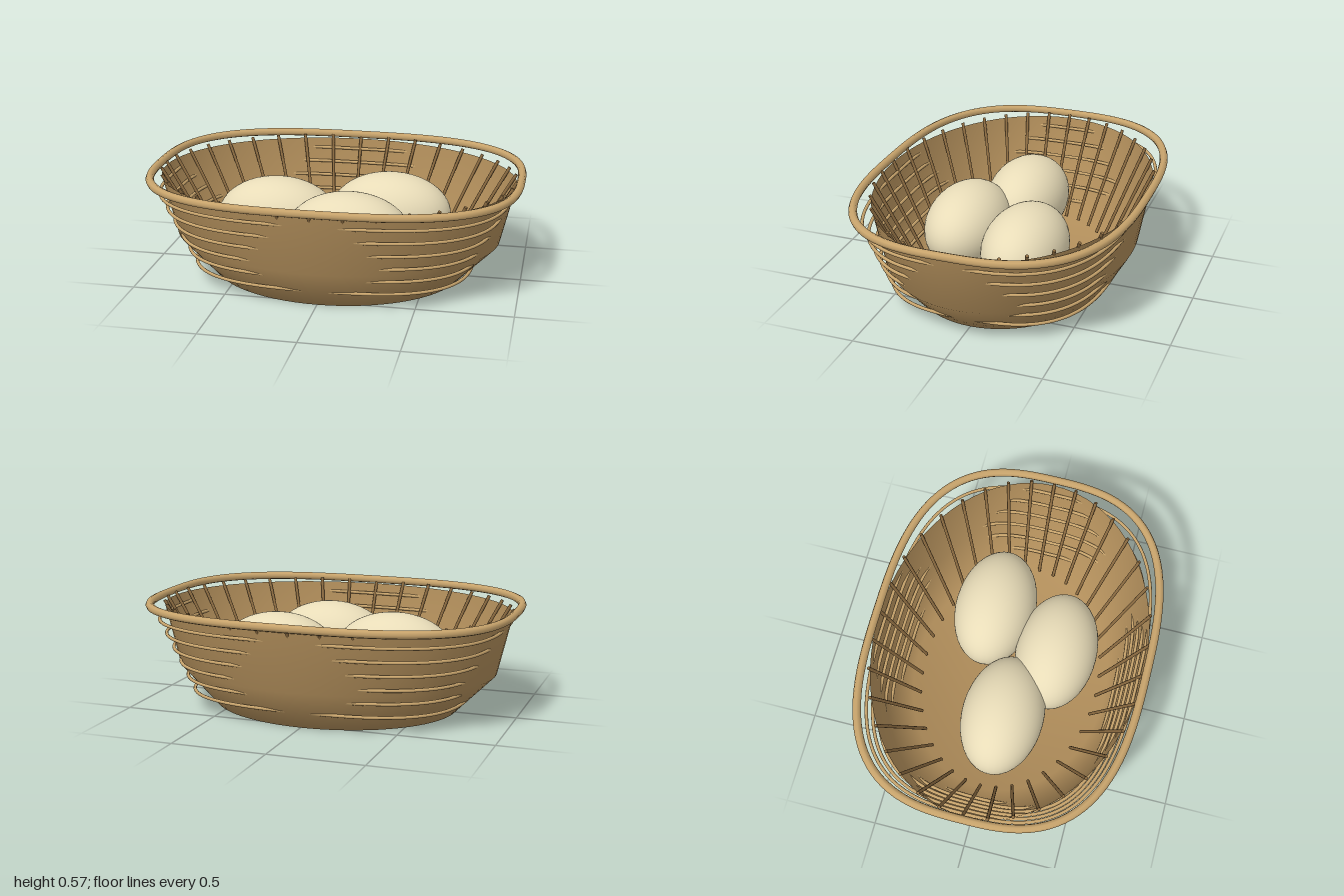
import * as THREE from 'three';
import { mergeVertices } from 'three/addons/utils/BufferGeometryUtils.js';

const mat = (color, side = THREE.FrontSide) =>
  new THREE.MeshStandardMaterial({ color, side, roughness: 0.85 });

const wallMat = mat(0xb08d5a, THREE.DoubleSide);
const caneMat = mat(0xc8a46c);
const stakeMat = mat(0x8a6a40);
const eggMat = mat(0xe8dcb8);

function addMesh(parent, name, geometry, material) {
  const mesh = new THREE.Mesh(geometry, material);
  mesh.name = name;
  parent.add(mesh);
  return mesh;
}

// Closed hoop on a rounded-rectangle (superellipse) path
function hoop(a, b, y, radius, sides) {
  const n = 2.86, points = [];
  for (let i = 0; i < 72; i++) {
    const t = (i / 72) * Math.PI * 2;
    const c = Math.cos(t), s = Math.sin(t);
    const k = Math.pow(Math.abs(c) ** n + Math.abs(s) ** n, -1 / n);
    points.push(new THREE.Vector3(a * c * k, y, b * s * k));
  }
  const path = new THREE.CatmullRomCurve3(points, true);
  return new THREE.TubeGeometry(path, 144, radius, sides, true);
}

// Straight rod between two points
function rod(from, to, radius) {
  const dir = to.clone().sub(from);
  const geometry = new THREE.CylinderGeometry(radius, radius, dir.length(), 8);
  geometry.applyQuaternion(new THREE.Quaternion().setFromUnitVectors(
    new THREE.Vector3(0, 1, 0), dir.normalize()));
  const mid = from.clone().add(to).multiplyScalar(0.5);
  return geometry.translate(mid.x, mid.y, mid.z);
}

// Oval bowl: a lathe squashed in z, a little rounder toward the floor
function wallGeometry() {
  const profile = [[0, 0], [0.67, 0], [0.88, 0.21], [0.957, 0.53]]
    .map(([x, y]) => new THREE.Vector2(x, y));
  let geometry = new THREE.LatheGeometry(profile, 72);
  const pos = geometry.attributes.position;
  for (let i = 0; i < pos.count; i++) {
    const squash = 0.748 + 0.058 * Math.max(0, 1 - pos.getY(i) / 0.21);
    pos.setZ(i, pos.getZ(i) * squash);
  }
  geometry.deleteAttribute('normal');
  geometry.deleteAttribute('uv');
  geometry = mergeVertices(geometry, 1e-5);
  geometry.computeVertexNormals();
  return geometry;
}

export function createModel() {
  const group = new THREE.Group();
  group.name = 'eggBasket';

  addMesh(group, 'basketWall', wallGeometry(), wallMat);
  addMesh(group, 'rim', hoop(0.978, 0.727, 0.553, 0.022, 8), caneMat);

  // Horizontal weave, widening upward and passing through the wall
  const weave = new THREE.Group();
  weave.name = 'weave';
  group.add(weave);
  for (let i = 0; i < 6; i++) {
    const f = i / 5;
    addMesh(weave, 'weaveHoop',
      hoop(0.747 + 0.183 * f, 0.58 + 0.11 * f, 0.092 + 0.383 * f, 0.009, 8), caneMat);
  }

  // Upright stakes leaning from the floor out to the rim
  const stakes = new THREE.Group();
  stakes.name = 'stakes';
  group.add(stakes);
  for (let i = 0; i < 36; i++) {
    const t = (i / 36) * Math.PI * 2;
    const c = Math.cos(t), s = Math.sin(t);
    const foot = new THREE.Vector3(0.66 * c, 0.03, 0.49 * s);
    const head = new THREE.Vector3(0.96 * c, 0.55, 0.722 * s);
    addMesh(stakes, 'stake', rod(foot, head, 0.009), stakeMat);
  }

  // Eggs lying lengthwise
  for (const [x, z] of [[-0.32, 0.04], [0.27, -0.155], [0.105, 0.23]]) {
    const egg = addMesh(group, 'egg', new THREE.SphereGeometry(1, 40, 28), eggMat);
    egg.scale.set(0.33, 0.22, 0.22);
    egg.position.set(x, 0.287, z);
  }

  return group;
}
